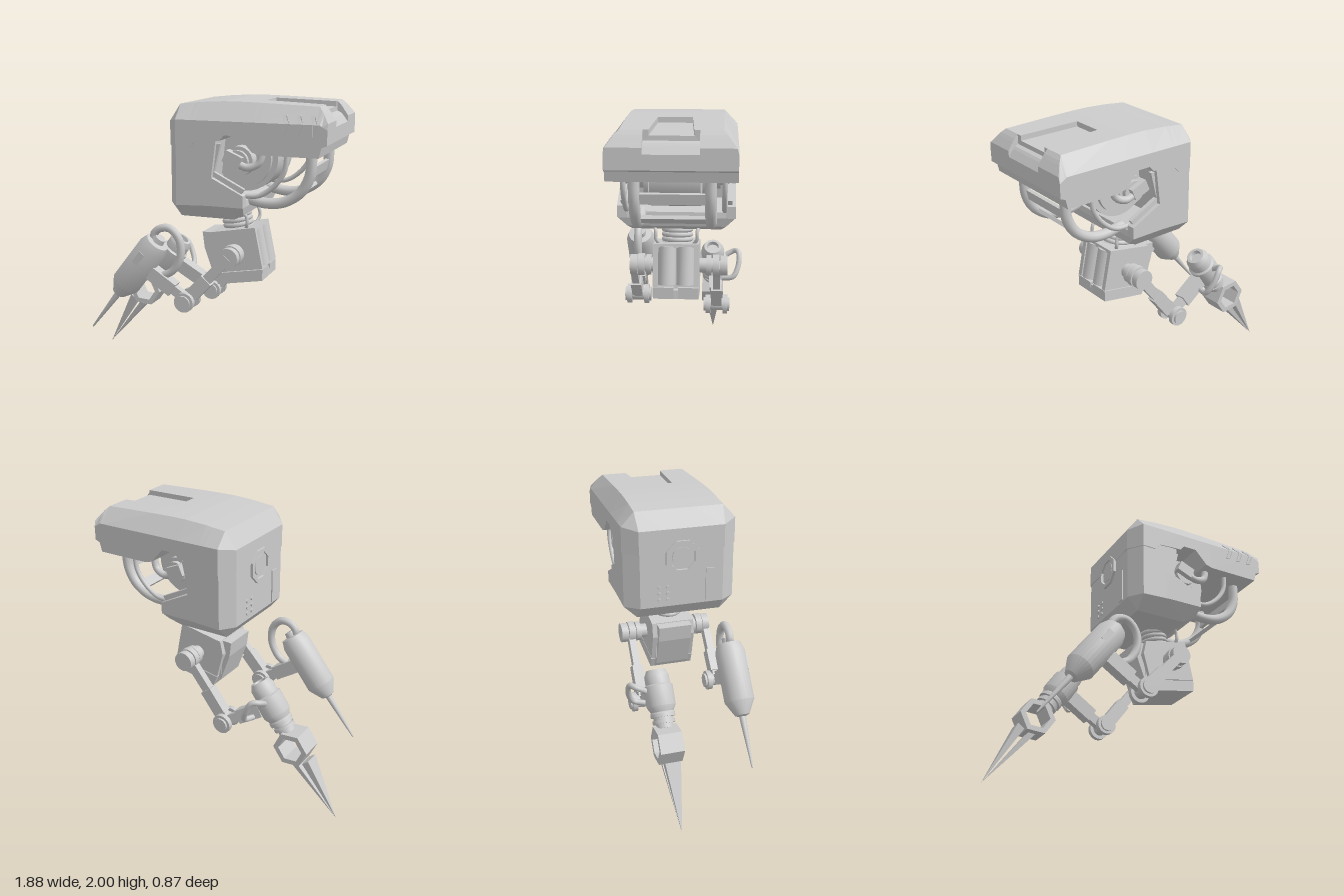
import * as THREE from 'three';
import { toCreasedNormals } from 'three/addons/utils/BufferGeometryUtils.js';
import { ConvexGeometry } from 'three/addons/geometries/ConvexGeometry.js';

const grey = new THREE.MeshStandardMaterial({ color: 0xcccccc });
const V = (p) => new THREE.Vector3(...p);

function add(parent, name, geometry) {
  const m = new THREE.Mesh(geometry, grey);
  m.name = name;
  parent.add(m);
  return m;
}
function group(parent, name) {
  const g = new THREE.Group();
  g.name = name;
  parent.add(g);
  return g;
}
// Turn a mesh built along +y so that it runs from a to b
function span(mesh, a, b) {
  const d = V(b).sub(V(a));
  mesh.position.copy(V(a).add(V(b)).multiplyScalar(0.5));
  mesh.quaternion.setFromUnitVectors(new THREE.Vector3(0, 1, 0), d.normalize());
  return mesh;
}
const dist = (a, b) => V(a).distanceTo(V(b));
const rod = (g, name, a, b, r0, r1 = r0, sides = 24) =>
  span(add(g, name, toCreasedNormals(new THREE.CylinderGeometry(r1, r0, dist(a, b), sides), 0.6)), a, b);
const beam = (g, name, a, b, w, depth) => span(add(g, name, new THREE.BoxGeometry(w, dist(a, b), depth)), a, b);
const tube = (g, name, pts, r) =>
  add(g, name, new THREE.TubeGeometry(new THREE.CatmullRomCurve3(pts.map(V)), 40, r, 10));
const box = (g, name, w, h, d, x, y, z) => {
  const m = add(g, name, new THREE.BoxGeometry(w, h, d));
  m.position.set(x, y, z);
  return m;
};
const hull = (g, name, pts) => add(g, name, new ConvexGeometry(pts.map(V)));
const outline = (pts) => new THREE.Shape(pts.map(([x, y]) => new THREE.Vector2(x, y)));
function plate(g, name, pts, z0, z1, hole) {
  const s = outline(pts);
  if (hole) s.holes.push(outline(hole));
  const geo = new THREE.ExtrudeGeometry(s, { depth: z1 - z0, bevelEnabled: false });
  return add(g, name, geo.translate(0, 0, z0));
}
const polygon = (n, r, cx, cy, turn = 0) => Array.from({ length: n }, (_, i) => {
  const a = turn + (i / n) * Math.PI * 2;
  return [cx + r * Math.cos(a), cy + r * Math.sin(a)];
});
// Lathe turned along the line a to b; profile is [radius, distance from a]
function turned(g, name, a, b, profile) {
  const L = dist(a, b);
  const geo = new THREE.LatheGeometry(profile.map(([r, t]) => new THREE.Vector2(r, t - L / 2)), 24);
  return span(add(g, name, toCreasedNormals(geo, 0.5)), a, b);
}

// Lofted upper shell: x, bottom, shoulder, top, half width, half top width, groove half width, groove depth
function shellGeometry() {
  const stations = [
    [-.16, 1.70, 1.86, 1.86, .30, .30, .10, 0], [-.08, 1.70, 1.88, 1.975, .40, .31, .10, 0],
    [.02, 1.70, 1.88, 1.985, .40, .31, .10, 0], [.06, 1.745, 1.88, 1.99, .40, .31, .10, 0],
    [.23, 1.755, 1.88, 2.0, .40, .31, .10, 0], [.26, 1.79, 1.88, 2.0, .40, .31, .10, 0],
    [.36, 1.79, 1.88, 2.0, .40, .31, .10, 0], [.45, 1.69, 1.88, 1.998, .40, .31, .11, 0],
    [.451, 1.69, 1.88, 1.998, .40, .31, .11, .035], [.50, 1.675, 1.88, 1.997, .40, .31, .113, .035],
    [.86, 1.675, 1.88, 1.985, .40, .31, .135, .035], [.861, 1.675, 1.88, 1.985, .40, .31, .17, .065],
    [.885, 1.675, 1.88, 1.96, .40, .335, .17, .05], [.90, 1.74, 1.87, 1.94, .40, .35, .17, .045],
    [.935, 1.755, 1.85, 1.89, .40, .39, .17, .04],
  ];
  const rings = stations.map(([x, yb, ys, yt, zs, zt, zg, d]) => {
    const half = [[zs, yb], [zs, ys], [zt, yt], [zg, yt], [zg, yt - d]];
    return [...half, ...half.slice().reverse().map(([z, y]) => [-z, y])].map(([z, y]) => [x, y, z]);
  });
  const out = [];
  const quad = (a, b, c, d) => out.push(...a, ...b, ...c, ...a, ...c, ...d);
  for (let i = 0; i + 1 < rings.length; i++) {
    for (let j = 0; j < 10; j++) {
      const k = (j + 1) % 10;
      quad(rings[i][j], rings[i + 1][j], rings[i + 1][k], rings[i][k]);
    }
  }
  const first = rings[0], last = rings[rings.length - 1];
  for (const [a, b, c, d] of [[0, 1, 8, 9], [1, 2, 3, 4], [5, 6, 7, 8]]) {
    quad(first[a], first[b], first[c], first[d]);
    quad(last[d], last[c], last[b], last[a]);
  }
  const geo = new THREE.BufferGeometry();
  geo.setAttribute('position', new THREE.Float32BufferAttribute(out, 3));
  geo.computeVertexNormals();
  return geo;
}

function buildHead(root) {
  const g = group(root, 'head');
  g.position.z = 0.01;
  add(g, 'upperShell', shellGeometry());
  // Lower casing with chamfered corners
  const both = (pts) => pts.flatMap(([x, y, z]) => [[x, y, z], [x, y, -z]]);
  hull(g, 'lowerCasing', both([
    [-.155, 1.75, .295], [-.08, 1.75, .394], [-.155, 1.31, .295], [-.08, 1.31, .394], [-.08, 1.22, .30],
    [.20, 1.75, .394], [.145, 1.52, .394], [.145, 1.32, .394], [.145, 1.22, .30]]));
  hull(g, 'casingFloor', both([
    [.10, 1.42, .35], [.385, 1.36, .35], [.39, 1.32, .39], [.375, 1.26, .33], [.30, 1.22, .30], [.10, 1.22, .30], [.10, 1.32, .394]]));
  for (const s of [1, -1]) {
    const side = group(g, s > 0 ? 'leftSide' : 'rightSide');
    plate(side, 'cheek', [[.10, 1.52], [.145, 1.52], [.39, 1.40], [.39, 1.32], [.10, 1.32]], s > 0 ? .33 : -.394, s > 0 ? .394 : -.33);
    // Raised rim along the cutout
    plate(side, 'cutoutRim', [[.19, 1.73], [.14, 1.53], [.37, 1.41], [.39, 1.44], [.18, 1.545], [.225, 1.73]], s > 0 ? .34 : -.37, s > 0 ? .37 : -.34);
    rod(side, 'hub', [.32, 1.61, s * .2], [.32, 1.61, s * .29], .10);
    rod(side, 'hubCap', [.32, 1.61, s * .29], [.32, 1.61, s * .32], .075);
    box(side, 'hubBlock', .12, .08, .08, .30, 1.63, s * .32).rotation.z = -.4;
    tube(side, 'hubHose', [[.33, 1.60, s * .33], [.40, 1.58, s * .33], [.47, 1.61, s * .32], [.50, 1.70, s * .31]], .025);
    tube(side, 'guardTube', [[.36, 1.36, s * .235], [.50, 1.335, s * .235], [.62, 1.35, s * .235], [.73, 1.42, s * .235],
      [.79, 1.53, s * .235], [.80, 1.69, s * .235]], .036);
    tube(side, 'thinTube', [[.37, 1.39, s * .32], [.48, 1.40, s * .32], [.58, 1.47, s * .32], [.645, 1.57, s * .32], [.66, 1.69, s * .32]], .017);
    rod(side, 'drumFlange', [.33, 1.62, s * .175], [.33, 1.62, s * .205], .19);
  }
  rod(g, 'drum', [.33, 1.62, -.165], [.33, 1.62, .165], .225, .225, 32);
  box(g, 'upperCrossbar', .025, .07, .47, .79, 1.55, 0).rotation.z = -.2;
  box(g, 'lowerCrossbar', .025, .07, .47, .70, 1.395, 0).rotation.z = -.9;
  // Chevron marks, upper arms folded onto the shoulder chamfer
  for (let i = 0; i < 3; i++) {
    const x = .635 + i * .09;
    const m = plate(g, 'chevron', [[x, 1.80], [x + .03, 1.80], [x + .058, 1.875], [x + .03, 1.935], [x, 1.935], [x + .028, 1.875]], .393, .405);
    const p = m.geometry.attributes.position;
    for (let k = 0; k < p.count; k++) p.setZ(k, p.getZ(k) - Math.max(0, p.getY(k) - 1.88) * .78);
    m.geometry.computeVertexNormals();
  }
  // Face details: octagonal eye, indicator dots, slot
  const frame = plate(g, 'eyeFrame', polygon(8, .125, 0, 1.66, Math.PI / 8), 0, .02, polygon(8, .095, 0, 1.66, Math.PI / 8));
  frame.rotation.y = -Math.PI / 2;
  frame.position.x = -.153;
  rod(g, 'eyeLens', [-.15, 1.66, 0], [-.165, 1.66, 0], .07);
  for (let i = 0; i < 6; i++) {
    const y = 1.36 + (i % 3) * .045, z = -.16 + Math.floor(i / 3) * .06;
    rod(g, 'indicator', [-.15, y, z], [-.165, y, z], .013, .013, 10);
  }
  box(g, 'faceSlot', .015, .24, .06, -.156, 1.44, .20);
}

function buildTorso(root) {
  const g = group(root, 'torso');
  g.position.z = 0.012;
  // Corrugated neck
  const bottom = [.235, 1.08, 0], top = [.20, 1.24, 0];
  rod(g, 'neckCore', bottom, top, .085);
  for (let i = 0; i < 5; i++) {
    const ring = add(g, 'neckRing', new THREE.TorusGeometry(.092, .017, 8, 28));
    ring.position.lerpVectors(V(bottom), V(top), .1 + i * .2);
    ring.rotation.set(Math.PI / 2, .2, 0);
  }
  plate(g, 'chest', [[.07, 1.08], [.35, 1.13], [.41, .83], [.45, .83], [.455, .77], [.13, .71], [.08, .80]], -.125, .125);
  for (const s of [1, -1]) {
    const z0 = s > 0 ? .122 : -.155;
    plate(g, 'sidePanel', [[.07, 1.08], [.395, 1.14], [.455, .855], [.10, .79], [.05, .98]], z0, z0 + .033);
    rod(g, 'backCanister', [.415, .86, s * .062], [.36, 1.115, s * .062], .06);
    plate(g, 'baseBlock', [[.10, .785], [.455, .85], [.455, .77], [.13, .71]], s > 0 ? .015 : -.155, s > 0 ? .155 : -.015);
    tube(g, 'neckCable', [[.31, 1.10, s * .10], [.335, 1.16, s * .14], [.33, 1.21, s * .14], [.29, 1.25, s * .16]], .012);
  }
  plate(g, 'topFrame', [[.30, 1.122], [.395, 1.14], [.40, 1.115], [.30, 1.095]], -.13, .13);
  plate(g, 'frontPlate', [[0, 1.07], [.07, 1.075], [.045, .98], [.115, .79], [.09, .75], [.015, .96]], -.12, .12);
}

// Shoulder, upper arm, elbow and forearm shared by both arms
function buildArm(root, name, s, z, elbow, wrist) {
  const g = group(root, name);
  const S = [.26, .95], E = elbow;
  rod(g, 'shoulderAxle', [...S, s * .14], [...S, z], .05);
  for (const [a, b, r] of [[.19, .225, .07], [.235, .28, .076], [.285, .335, .07]]) rod(g, 'shoulderRing', [...S, s * a], [...S, s * b], r);
  const mid = [(S[0] + E[0]) / 2, (S[1] + E[1]) / 2, z];
  beam(g, 'upperArm', [...S, z], [...E, z], .07, .05);
  beam(g, 'upperArmSleeve', mid, [E[0] + .04, E[1] + .045, z], .095, .075);
  rod(g, 'elbowAxle', [...E, z - .09], [...E, z + .09], .045);
  for (const k of [-1, 1]) {
    rod(g, 'elbowDisc', [...E, z + k * .045], [...E, z + k * .08], .07);
    rod(g, 'elbowCap', [...E, z + k * .08], [...E, z + k * .095], .05);
  }
  const lerp = (t) => [E[0] + (wrist[0] - E[0]) * t, E[1] + (wrist[1] - E[1]) * t, z + (wrist[2] - z) * t];
  beam(g, 'forearm', lerp(0), lerp(1), .065, .05);
  beam(g, 'forearmSleeve', lerp(.3), lerp(.8), .10, .085);
  return g;
}

export function createModel() {
  const root = new THREE.Group();
  root.name = 'robot';
  buildHead(root);
  buildTorso(root);

  // Left arm with needle tool
  const left = buildArm(root, 'leftArm', 1, .315, [-.04, .62], [-.38, .84, .32]);
  const at = (t) => [-.80 + .61 * t, .32 + .79 * t, .32];
  turned(left, 'needleTool', at(0), at(.92), [[0, 0], [.006, .01], [.024, .36], [.05, .37], [.105, .47], [.105, .82], [.085, .88], [.045, .885], [.04, .92], [0, .92]]);
  box(left, 'toolWindow', .045, .10, .02, -.365, .91, .415).rotation.z = -.66;
  tube(left, 'toolHose', [[-.26, 1.02, .32], [-.29, 1.06, .32], [-.25, 1.11, .32], [-.17, 1.12, .32], [-.10, 1.05, .32], [-.09, .93, .32], [-.15, .82, .32], [-.24, .77, .32]], .028);

  // Right arm with hexagonal claw tool
  const zc = -.225;
  const right = buildArm(root, 'rightArm', -1, -.26, [-.06, .54], [-.40, .75, -.23]);
  const along = (t) => [-.59 + .57 * t, .50 + .82 * t, zc];
  turned(right, 'clawMotor', along(.10), along(.50), [[0, 0], [.06, 0], [.06, .03], [.078, .03], [.078, .055], [.068, .055], [.068, .075],
    [.085, .075], [.085, .10], [.078, .11], [.10, .15], [.10, .29], [.085, .30], [.085, .36], [.065, .40], [.045, .40], [.04, .37], [0, .37]]);
  tube(right, 'motorCable', [[-.40, .80, -.30], [-.40, .85, -.39], [-.36, .85, -.42], [-.31, .76, -.42], [-.28, .68, -.38], [-.30, .66, -.30]], .02);
  plate(right, 'hexCollar', polygon(6, .13, -.60, .495, -.08), zc - .083, zc + .083, polygon(6, .09, -.60, .495, -.08));
  const tip = [-.94, 0, zc];
  for (const [a, b] of [[[-.73, .43], [-.685, .395]], [[-.655, .375], [-.605, .37]]]) {
    hull(right, 'clawProng', [tip, ...[a, b].flatMap((p) => [[...p, zc - .055], [...p, zc + .055]])]);
  }
  return root;
}
